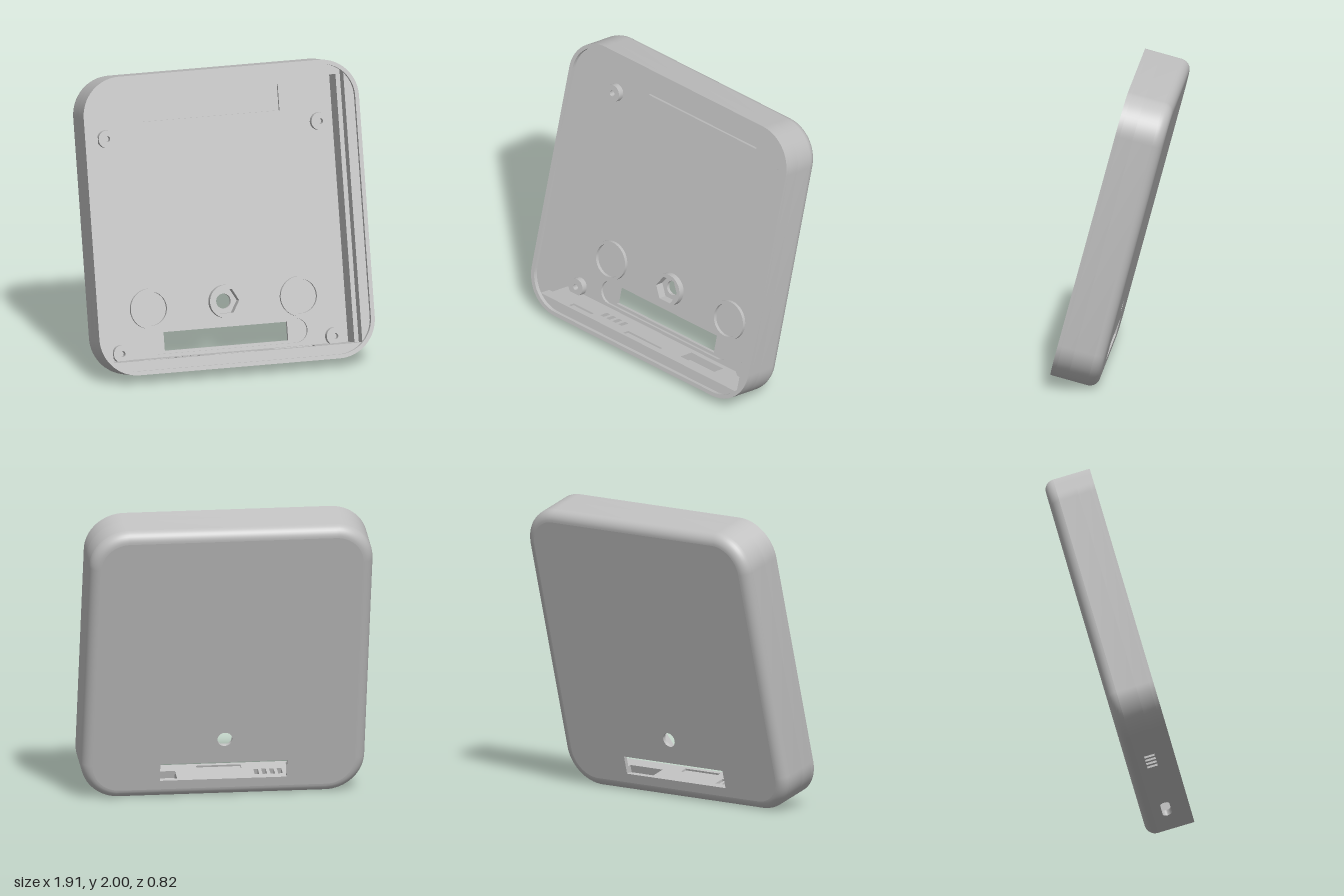
import * as THREE from 'three';
import { toCreasedNormals } from 'three/addons/utils/BufferGeometryUtils.js';

const HW = 0.955, HH = 1.0, R = 0.26;   // outer half width, half height, corner radius
const DEPTH = 0.325, FILLET = 0.07;     // case depth and back edge rounding
const FLOOR = -0.28, UNDER = -0.30;     // inner floor and bottom of its recesses
const WALL_X = 0.69, POCKET_BOTTOM = -0.907;

const plastic = new THREE.MeshStandardMaterial({ color: 0xc0c0c0 });
plastic.name = 'greyPlastic';

// Counter-clockwise points of a rounded rectangle centred on (cx, cy)
function roundedPoints(hw, hh, r, cx = 0, cy = 0, n = 16) {
  const pts = [];
  [[1, -1], [1, 1], [-1, 1], [-1, -1]].forEach(([sx, sy], c) => {
    for (let i = 0; i <= n; i++) {
      const a = (c - 1 + i / n) * Math.PI / 2;
      pts.push(new THREE.Vector2(cx + sx * (hw - r) + r * Math.cos(a), cy + sy * (hh - r) + r * Math.sin(a)));
    }
  });
  return pts;
}

const rectPoints = (x0, y0, x1, y1) =>
  [[x0, y0], [x1, y0], [x1, y1], [x0, y1]].map(p => new THREE.Vector2(...p));

function polygon(cx, cy, r, n) {
  return Array.from({ length: n }, (_, i) => {
    const a = i / n * Math.PI * 2;
    return new THREE.Vector2(cx + r * Math.cos(a), cy + r * Math.sin(a));
  });
}

const inset = d => roundedPoints(HW - d, HH - d, R - d);

// Slab from an outline with holes, between two levels
function slab(outline, holes, from, to) {
  const shape = new THREE.Shape(outline);
  shape.holes = holes.map(h => new THREE.Path(h));
  const g = new THREE.ExtrudeGeometry(shape, { depth: to - from, bevelEnabled: false });
  g.translate(0, 0, from);
  return toCreasedNormals(g, 0.5);
}

// Rounded back edge, lofted through shrinking outlines
function backEdge() {
  const steps = 8, pos = [], index = [];
  let n = 0;
  for (let i = 0; i <= steps; i++) {
    const a = i / steps * Math.PI / 2;
    const loop = inset(FILLET * (1 - Math.cos(a)));
    n = loop.length;
    loop.forEach(p => pos.push(p.x, p.y, -DEPTH + FILLET * (1 - Math.sin(a))));
  }
  for (let i = 0; i < steps; i++) {
    for (let j = 0; j < n; j++) {
      const k = (j + 1) % n, u = i * n, l = u + n;
      index.push(l + j, l + k, u + j, l + k, u + k, u + j);
    }
  }
  const g = new THREE.BufferGeometry();
  g.setAttribute('position', new THREE.Float32BufferAttribute(pos, 3));
  g.setIndex(index);
  g.computeVertexNormals();
  return g;
}

export function createModel() {
  const model = new THREE.Group();
  model.name = 'enclosure';
  const tilted = new THREE.Group();
  tilted.name = 'tiltedCase';
  tilted.rotation.x = -Math.PI / 12;
  tilted.position.set(0, 1.034, 0.149);
  model.add(tilted);

  const add = (name, geometry) => {
    const m = new THREE.Mesh(geometry, plastic);
    m.name = name;
    tilted.add(m);
  };

  // Thin front rim around the lid rebate
  add('frontRim', slab(inset(0), [roundedPoints(HW - 0.027, HH - 0.027, R - 0.027)], -0.03, 0));

  // Side and top walls: a U open at the bottom, stepped inside
  const wallOutline = (px, top) => [
    ...[[WALL_X, POCKET_BOTTOM], [px, POCKET_BOTTOM], [px, top], [-px, top], [-px, POCKET_BOTTOM],
      [-WALL_X, POCKET_BOTTOM], [-WALL_X, -HH]].map(p => new THREE.Vector2(...p)),
    ...roundedPoints(HW, HH, R).reverse().slice(0, -1).filter(p => !(p.y < -HH + 1e-6)),
    new THREE.Vector2(WALL_X, -HH),
  ];
  add('upperWalls', slab(wallOutline(0.865, 0.92), [], -0.12, -0.03));
  add('lowerWalls', slab(wallOutline(0.835, 0.89), [], -DEPTH + FILLET, -0.12));
  add('wallFoot', slab(inset(0.01), [rectPoints(-0.835, POCKET_BOTTOM, 0.835, 0.89)], -0.285, -DEPTH + FILLET));

  // Bottom wall in three plates, with vents, port opening and catch notches
  const vents = [-0.405, -0.353, -0.3, -0.247].map(x => rectPoints(x - 0.015, 0.128, x + 0.015, 0.2));
  const port = roundedPoints(0.1, 0.032, 0.0319, 0.44, 0.157);
  const portRecess = rectPoints(0.295, 0.118, 0.575, 0.236);
  const notches = [rectPoints(-0.635, 0.056, -0.46, 0.108), rectPoints(-0.155, 0.056, 0.145, 0.108)];
  const wall = rectPoints(-WALL_X, 0.03, WALL_X, DEPTH - FILLET);
  [
    ['bottomWallOuter', [port], -HH, -0.96],
    ['bottomWallMiddle', [portRecess], -0.96, -0.92],
    ['bottomWallInner', [portRecess, ...notches], -0.92, POCKET_BOTTOM],
  ].forEach(([name, holes, from, to]) =>
    add(name, slab(wall, [...vents, ...holes], from, to).rotateX(-Math.PI / 2)));

  // Floor with shallow recesses, and the back plate behind it
  const nutY = -0.568;
  const hex = polygon(0, nutY, 0.092, 6);
  const slotRecess = roundedPoints(0.56, 0.082, 0.0815, 0, -0.803);
  const labelRecess = rectPoints(-0.475, 0.671, 0.475, 0.847);
  add('floor', slab(inset(0.02), [hex, slotRecess, labelRecess], UNDER, FLOOR));
  add('backPlate', slab(inset(FILLET),
    [polygon(0, nutY, 0.05, 32), rectPoints(-0.428, -0.866, 0.428, -0.741)], -DEPTH, UNDER));
  add('backEdge', backEdge());

  // Nut boss, magnet rings and screw standoffs
  add('nutBoss', slab(polygon(0, nutY, 0.11, 48), [hex], FLOOR, FLOOR + 0.045));
  for (const s of [-1, 1]) {
    const side = s > 0 ? 'left' : 'right';
    add(side + 'Ring', slab(polygon(s * 0.52, -0.576, 0.135, 48), [polygon(s * 0.52, -0.576, 0.115, 48)], FLOOR, FLOOR + 0.025));
    for (const [name, y] of [['Upper', 0.578], ['Lower', -0.861]]) {
      add(side + name + 'Standoff',
        slab(polygon(s * 0.738, y, 0.06, 32), [polygon(s * 0.738, y, 0.02, 16)], FLOOR, FLOOR + 0.045));
    }
  }
  return model;
}
